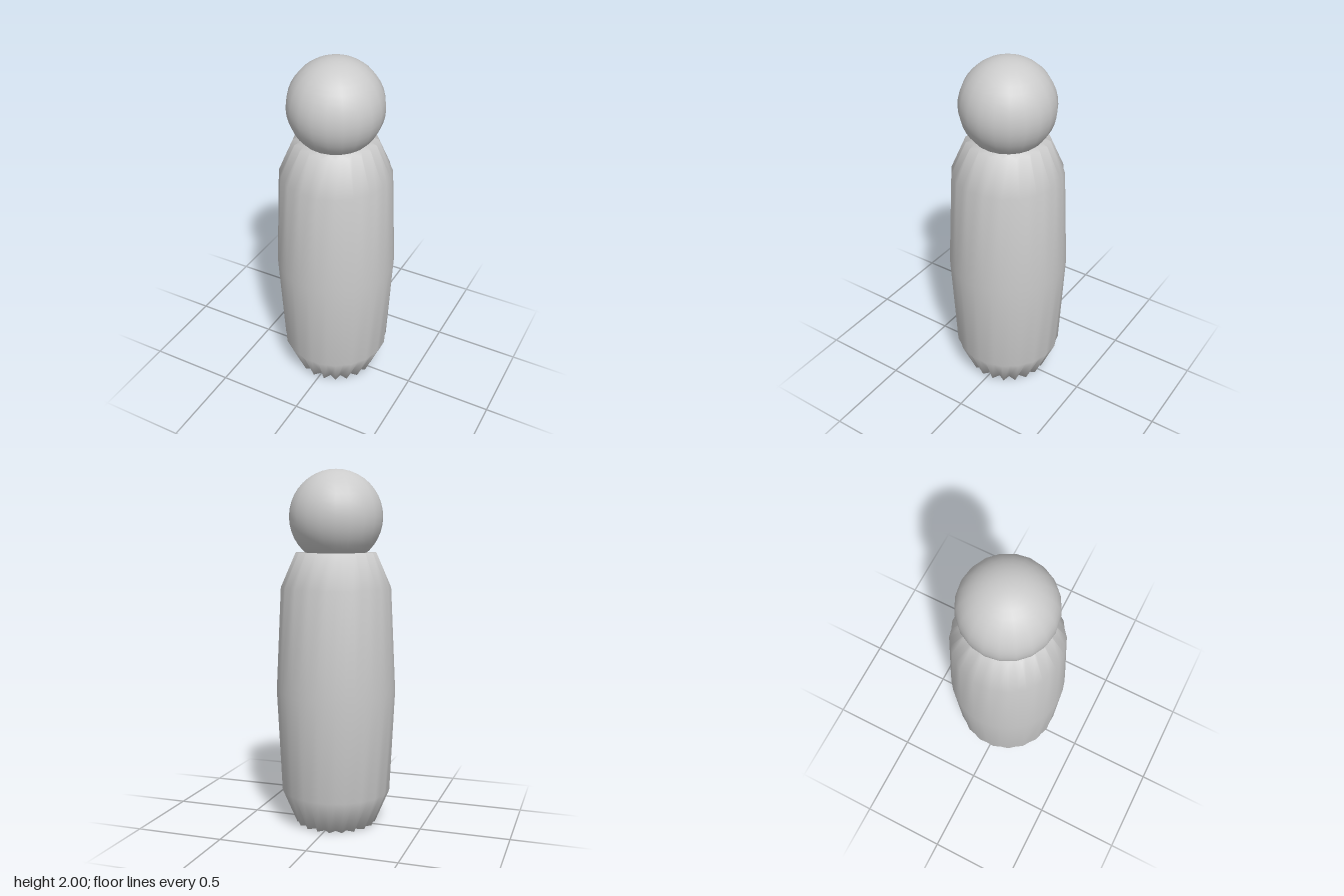
import * as THREE from 'three';

const PLEATS = 20;
const SIDES = PLEATS * 2;

// Rings from bottom to top: height, radius at the folds, radius between them
const RINGS = [
  [0, 0.226, 0.187],
  [0.195, 0.309, 0.302],
  [0.775, 0.337, 0.336],
  [1.355, 0.309, 0.302],
  [1.545, 0.226, 0.187],
];

// Closed sack whose two ends are gathered into pleats
function pleatedBody() {
  const positions = [];
  const index = [];
  for (const [y, fold, valley] of RINGS) {
    for (let i = 0; i < SIDES; i++) {
      const a = (i / SIDES) * Math.PI * 2;
      const r = i % 2 ? fold : valley;
      positions.push(r * Math.sin(a), y, r * Math.cos(a));
    }
  }
  const last = RINGS.length - 1;
  const bottom = positions.length / 3;
  const top = bottom + 1;
  positions.push(0, RINGS[0][0], 0, 0, RINGS[last][0], 0);

  for (let i = 0; i < SIDES; i++) {
    const j = (i + 1) % SIDES;
    // Wall
    for (let k = 0; k < last; k++) {
      const a = k * SIDES + i, b = k * SIDES + j;
      index.push(a, b, b + SIDES, a, b + SIDES, a + SIDES);
    }
    // End caps
    index.push(bottom, j, i);
    index.push(top, last * SIDES + i, last * SIDES + j);
  }

  const geometry = new THREE.BufferGeometry();
  geometry.setAttribute('position', new THREE.Float32BufferAttribute(positions, 3));
  geometry.setIndex(index);
  geometry.computeVertexNormals();
  return geometry;
}

export function createModel() {
  const group = new THREE.Group();
  group.name = 'pegFigure';
  const material = new THREE.MeshStandardMaterial({ color: 0xcccccc });

  const body = new THREE.Mesh(pleatedBody(), material);
  body.name = 'body';

  // Round head resting in the gathered collar
  const head = new THREE.Mesh(new THREE.SphereGeometry(0.26, 20, 20), material);
  head.name = 'head';
  head.position.y = 1.74;

  group.add(body, head);
  return group;
}
